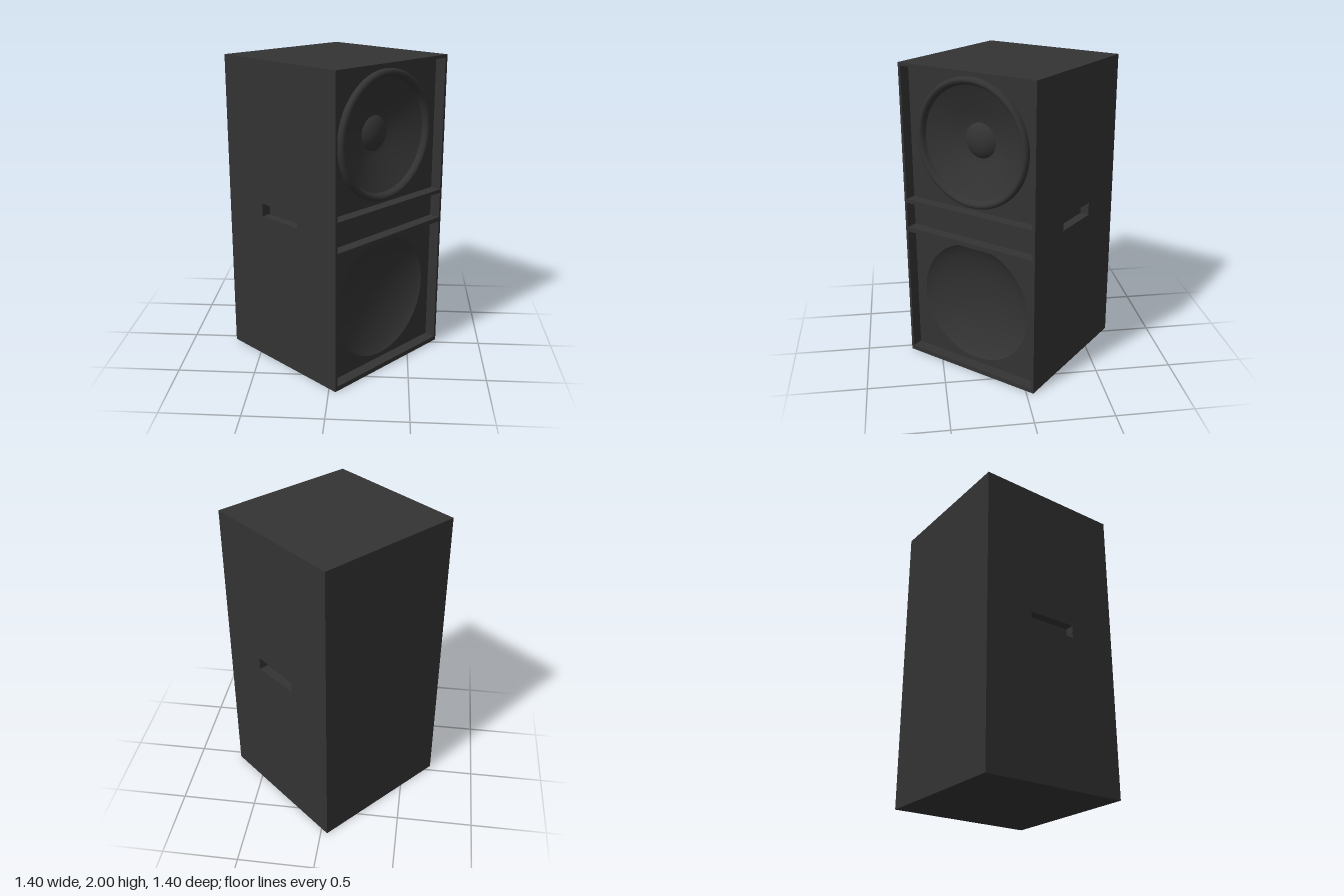
import * as THREE from 'three';

const W = 0.995, H = 2, HALF = W / 2;   // square cabinet footprint and height
const FRAME = 0.075;                    // depth of the front openings
const BAFFLE = 0.13;                    // thickness of the driver board
const GRIP = 0.06;                      // depth of the side handle recesses

function rect(x0, y0, x1, y1, Type = THREE.Shape) {
  const s = new Type();
  s.moveTo(x0, y0);
  s.lineTo(x1, y0);
  s.lineTo(x1, y1);
  s.lineTo(x0, y1);
  s.closePath();
  return s;
}

function panel(shape, depth) {
  return new THREE.ExtrudeGeometry(shape, { depth, bevelEnabled: false, curveSegments: 64 });
}

// Profile of [radius, forward] points, outside to centre, turned to face +z
function dish(points) {
  const g = new THREE.LatheGeometry(points.map(([r, f]) => new THREE.Vector2(r, f)), 64);
  return g.rotateX(Math.PI / 2);
}

export function createModel() {
  const model = new THREE.Group();
  model.name = 'loudspeaker';
  const cabinet = new THREE.Group();
  cabinet.name = 'cabinet';
  cabinet.rotation.y = THREE.MathUtils.degToRad(48.5);
  model.add(cabinet);

  const charcoal = new THREE.MeshStandardMaterial({ color: 0x333333 });
  charcoal.name = 'charcoal';

  function add(name, geometry, x = 0, y = 0, z = 0) {
    const mesh = new THREE.Mesh(geometry, charcoal);
    mesh.name = name;
    mesh.position.set(x, y, z);
    cabinet.add(mesh);
    return mesh;
  }

  const baffleFront = HALF - FRAME;
  const bodyFront = baffleFront - BAFFLE;
  const bodyDepth = bodyFront + HALF;

  // Front frame with driver opening, slot and lower opening
  const frame = rect(-HALF, 0, HALF, H);
  for (const [low, high] of [[0.03, 0.89], [0.92, 1.09], [1.115, 1.98]]) {
    frame.holes.push(rect(-0.48, low, 0.48, high, THREE.Path));
  }
  add('frontFrame', panel(frame, FRAME), 0, 0, baffleFront);

  // Driver board with two round cut-outs
  const board = rect(-HALF, 0, HALF, H);
  const upperY = 1.545, lowerY = 0.465, radius = 0.405;
  for (const y of [lowerY, upperY]) {
    const hole = new THREE.Path();
    hole.absarc(0, y, radius, 0, Math.PI * 2, true);
    board.holes.push(hole);
  }
  add('driverBoard', panel(board, BAFFLE), 0, 0, bodyFront);

  // Body core between the two side panels
  add('bodyCore', new THREE.BoxGeometry(W - 2 * GRIP, H, bodyDepth), 0, H / 2, bodyFront - bodyDepth / 2);

  // Side panels with handle recesses
  for (const side of [-1, 1]) {
    const shape = rect(-bodyFront, 0, HALF, H);
    shape.holes.push(rect(-0.165, 1.0, 0.165, 1.085, THREE.Path));
    const geometry = panel(shape, GRIP).rotateY(Math.PI / 2);
    add(side > 0 ? 'leftPanel' : 'rightPanel', geometry, side > 0 ? HALF - GRIP : -HALF, 0, 0);
  }

  // Upper driver: raised rolled surround, cone and dust cap
  add('driverSurround', dish([
    [0.41, 0], [0.41, 0.015], [0.405, 0.028], [0.393, 0.036], [0.38, 0.034],
    [0.37, 0.024], [0.364, 0.008], [0.36, 0.0],
  ]), 0, upperY, baffleFront);
  add('driverCone', dish([
    [0.36, 0], [0.32, -0.018], [0.25, -0.045], [0.18, -0.07], [0.13, -0.085], [0.11, -0.088],
  ]), 0, upperY, baffleFront);
  add('dustCap', dish([
    [0.115, -0.09], [0.1, -0.076], [0.08, -0.064], [0.055, -0.055], [0.028, -0.05], [0, -0.048],
  ]), 0, upperY, baffleFront);

  // Lower opening: smooth shallow bowl
  add('lowerBowl', dish([
    [radius, 0], [0.38, -0.018], [0.33, -0.04], [0.26, -0.062], [0.18, -0.08], [0.09, -0.09], [0, -0.094],
  ]), 0, lowerY, baffleFront);

  return model;
}
